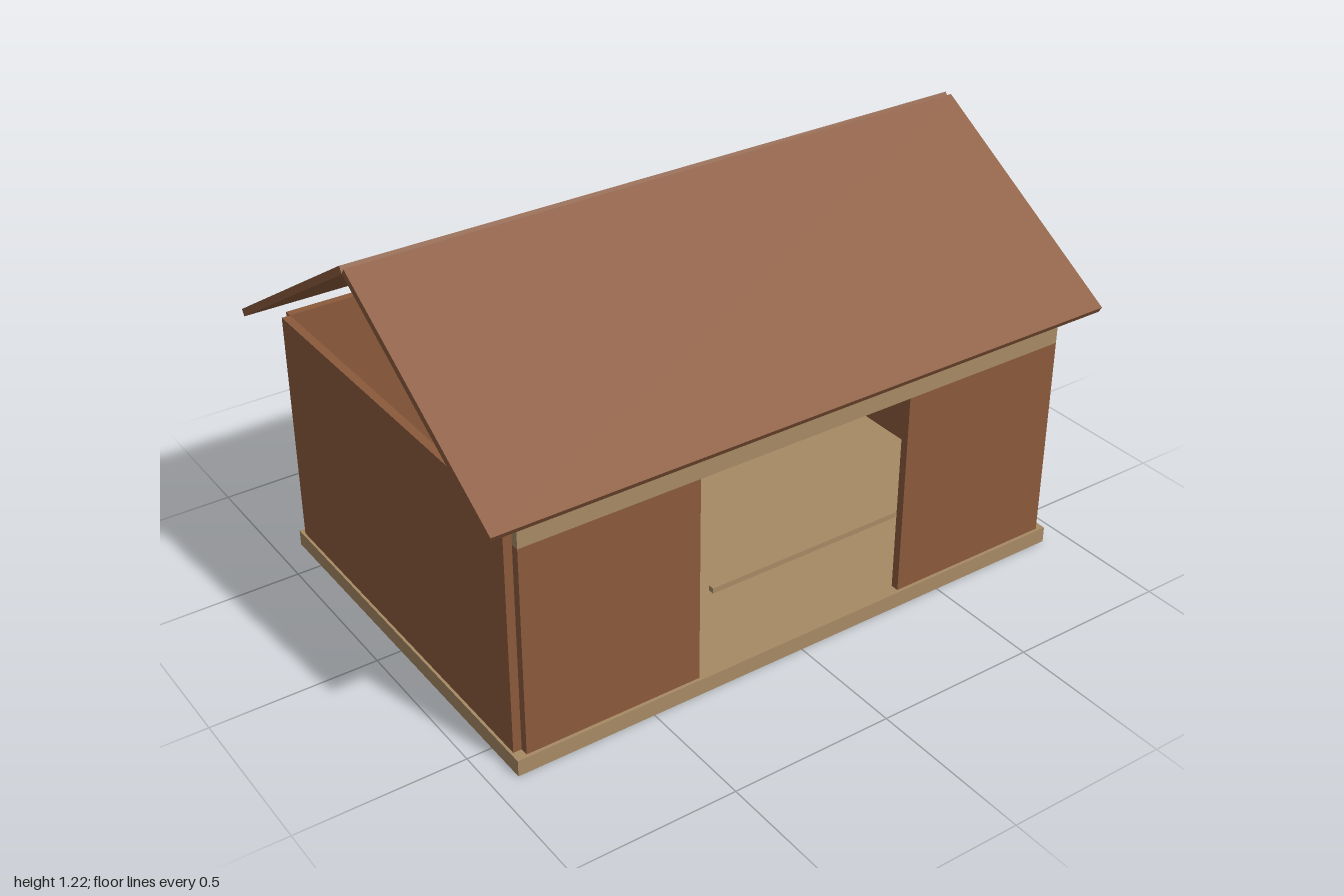
import * as THREE from 'three';

export function createModel() {
  const group = new THREE.Group();
  const brown = new THREE.MeshStandardMaterial({ color: 0x8b5a3c });
  brown.name = 'brown wood';
  const tan = new THREE.MeshStandardMaterial({ color: 0xa68a64 });
  tan.name = 'pale wood';

  // Box given by its lower and upper limits on each axis
  const board = (name, material, [x0, x1], [y0, y1], [z0, z1]) => {
    const mesh = new THREE.Mesh(new THREE.BoxGeometry(x1 - x0, y1 - y0, z1 - z0), material);
    mesh.position.set((x0 + x1) / 2, (y0 + y1) / 2, (z0 + z1) / 2);
    mesh.name = name;
    group.add(mesh);
    return mesh;
  };

  // Floor slab
  board('floor', tan, [-0.925, 0.925], [0, 0.05], [-0.635, 0.635]);

  // Walls, set just clear of the floor, with notched corners
  board('backWall', brown, [-0.895, 0.895], [0.055, 0.79], [-0.63, -0.605]);
  board('leftWall', brown, [0.895, 0.92], [0.055, 0.79], [-0.605, 0.605]);
  board('rightWall', brown, [-0.92, -0.895], [0.055, 0.79], [-0.605, 0.605]);

  // Front panels either side of the opening, lintel above, rail across
  board('leftFrontPanel', brown, [0.35, 0.895], [0.055, 0.695], [0.605, 0.63]);
  board('rightFrontPanel', brown, [-0.895, -0.35], [0.055, 0.695], [0.605, 0.63]);
  board('lintel', tan, [-0.895, 0.895], [0.695, 0.785], [0.605, 0.63]);
  board('doorRail', tan, [-0.315, 0.315], [0.327, 0.343], [0.622, 0.64]);

  // Partition inside
  board('innerPartition', tan, [0.36, 0.66], [0.05, 0.695], [-0.475, -0.45]);

  // Two sloping roof panels meeting at the ridge
  for (const side of [1, -1]) {
    const panel = new THREE.Mesh(new THREE.BoxGeometry(2, 0.022, 0.8), brown);
    panel.position.set(0, 1.005, side * 0.346);
    panel.rotation.x = side * 0.553;
    panel.name = side > 0 ? 'frontRoof' : 'backRoof';
    group.add(panel);
  }
  return group;
}
